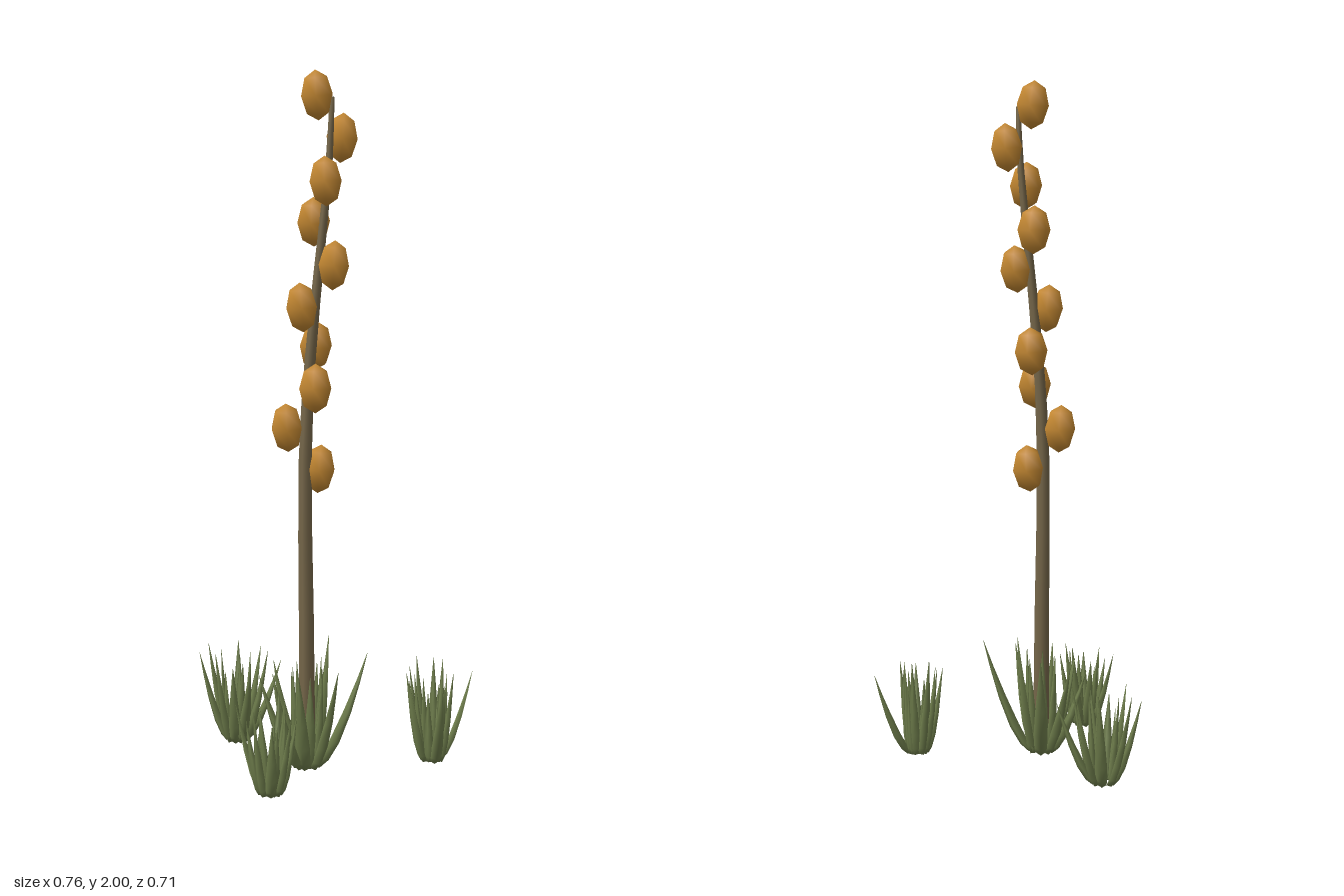
import * as THREE from 'three';
import { mergeGeometries } from 'three/addons/utils/BufferGeometryUtils.js';

const leafMat = new THREE.MeshStandardMaterial({ name: 'leaf green', color: 0x707f4d });
const stalkMat = new THREE.MeshStandardMaterial({ name: 'stalk brown', color: 0x76674a });
const podMat = new THREE.MeshStandardMaterial({ name: 'pod orange', color: 0xc48832 });

// Skin elliptical cross-sections along a path: each section has p, u, v (u x v points along the path).
function loft(sections, sides) {
  const pos = [], idx = [];
  for (const { p, u, v } of sections) {
    for (let j = 0; j < sides; j++) {
      const a = (j / sides) * Math.PI * 2;
      const q = p.clone().addScaledVector(u, Math.cos(a)).addScaledVector(v, Math.sin(a));
      pos.push(q.x, q.y, q.z);
    }
  }
  for (let i = 0; i < sections.length - 1; i++) {
    for (let j = 0; j < sides; j++) {
      const a = i * sides + j, b = i * sides + (j + 1) % sides;
      idx.push(a, b, b + sides, a, b + sides, a + sides);
    }
  }
  const last = (sections.length - 1) * sides;
  for (let j = 1; j < sides - 1; j++) {
    idx.push(0, j + 1, j, last, last + j, last + j + 1);
  }
  const g = new THREE.BufferGeometry();
  g.setAttribute('position', new THREE.Float32BufferAttribute(pos, 3));
  g.setIndex(idx);
  g.computeVertexNormals();
  return g;
}

// One fleshy pointed blade that leans outward and then sweeps up to its tip.
function blade(angle, baseR, tipR, height, width) {
  const out = new THREE.Vector3(Math.cos(angle), 0, Math.sin(angle));
  const v = new THREE.Vector3(0, 1, 0).cross(out);
  const at = t => out.clone().multiplyScalar(baseR + (tipR - baseR) * t)
    .setY(0.013 + (height - 0.013) * Math.pow(t, 1.45));
  const profile = [[0, 0.75], [0.15, 0.9], [0.35, 1], [0.6, 0.78], [0.82, 0.4], [1, 0.03]];
  const sections = profile.map(([t, w]) => {
    const T = at(Math.min(1, t + 0.05)).sub(at(Math.max(0, t - 0.05))).normalize();
    const u = v.clone().cross(T);
    return { p: at(t), u: u.multiplyScalar(w * width * 0.68), v: v.clone().multiplyScalar(w * width) };
  });
  return loft(sections, 4);
}

// Tuft position, blade size, and outer blade tips as [dx, dz, height].
const tufts = [
  { name: 'mainTuft', x: -0.105, z: 0.08, width: 0.021, baseR: 0.03, inner: 8, innerH: 0.33,
    tips: [[0.058, -0.157, 0.33], [-0.047, -0.125, 0.3], [-0.11, -0.09, 0.27], [-0.125, 0.05, 0.27],
      [0.155, 0.078, 0.345], [0.035, 0.13, 0.31], [-0.07, 0.09, 0.3], [0.085, -0.03, 0.38], [-0.1, -0.02, 0.29]] },
  { name: 'backTuft', x: -0.173, z: -0.26, width: 0.0175, baseR: 0.026, inner: 5, innerH: 0.28,
    tips: [[-0.047, -0.098, 0.29], [-0.086, -0.076, 0.27], [0.047, -0.088, 0.29], [0.097, -0.035, 0.28],
      [0.129, 0.039, 0.25], [0.072, 0.068, 0.29], [0.002, 0.099, 0.26], [-0.047, 0.078, 0.25], [-0.08, 0.027, 0.29]] },
  { name: 'leftTuft', x: 0.248, z: 0.188, width: 0.0165, baseR: 0.026, inner: 6, innerH: 0.27,
    tips: [[0.132, 0, 0.26], [-0.031, 0.115, 0.25], [-0.082, 0.006, 0.26], [-0.016, -0.07, 0.31],
      [-0.043, -0.062, 0.28], [0.031, -0.051, 0.3], [0.035, 0.06, 0.28], [-0.068, -0.035, 0.27], [0.047, -0.025, 0.3]] },
  { name: 'rightTuft', x: -0.318, z: 0.282, width: 0.0165, baseR: 0.026, inner: 5, innerH: 0.24,
    tips: [[-0.062, -0.092, 0.25], [0.068, -0.082, 0.28], [-0.062, 0.027, 0.24], [-0.025, 0.066, 0.22],
      [0.033, 0.07, 0.25], [0.064, 0.037, 0.23], [0.057, -0.027, 0.26], [0.006, -0.078, 0.23], [-0.06, -0.027, 0.22]] },
];

function makeTuft(t) {
  const blades = t.tips.map(([dx, dz, h]) =>
    blade(Math.atan2(dz, dx), t.baseR, Math.hypot(dx, dz), h, t.width));
  // upright blades in the middle of the tuft
  for (let i = 0; i < t.inner; i++) {
    const a = (i + 0.3) / t.inner * Math.PI * 2;
    blades.push(blade(a, t.baseR, 0.042 + 0.012 * (i % 2), t.innerH - 0.05 * (i % 3) / 2, t.width * 0.88));
  }
  const mesh = new THREE.Mesh(mergeGeometries(blades), leafMat);
  mesh.name = t.name;
  mesh.position.set(t.x, 0, t.z);
  return mesh;
}

// Tall tapering stalk, bending gently near the top.
function makeStalk() {
  const curve = new THREE.CatmullRomCurve3([
    [-0.105, 0.01, 0.08], [-0.107, 0.45, 0.08], [-0.11, 0.9, 0.08], [-0.098, 1.2, 0.09],
    [-0.075, 1.5, 0.108], [-0.055, 1.75, 0.122], [-0.05, 1.925, 0.13],
  ].map(p => new THREE.Vector3(...p)));
  const sections = [];
  for (let i = 0; i <= 12; i++) {
    const r = 0.025 - 0.018 * i / 12;
    sections.push({ p: curve.getPoint(i / 12), u: new THREE.Vector3(0, 0, r), v: new THREE.Vector3(r, 0, 0) });
  }
  const mesh = new THREE.Mesh(loft(sections, 7), stalkMat);
  mesh.name = 'stalk';
  return mesh;
}

// Six-sided egg-shaped pods spiralling up the stalk.
function makePods() {
  const group = new THREE.Group();
  group.name = 'pods';
  const geo = new THREE.SphereGeometry(1, 6, 4).scale(0.049, 0.07, 0.049);
  const spots = [
    [-0.09, 1.93, 0.116], [-0.007, 1.811, 0.106], [-0.085, 1.695, 0.16], [-0.077, 1.577, 0.069],
    [-0.043, 1.458, 0.127], [-0.133, 1.342, 0.106], [-0.065, 1.226, 0.058], [-0.101, 1.114, 0.127],
    [-0.15, 0.995, 0.045], [-0.065, 0.876, 0.08],
  ];
  spots.forEach(([x, y, z], i) => {
    const pod = new THREE.Mesh(geo, podMat);
    pod.name = 'pod' + (i + 1);
    pod.position.set(x, y, z);
    pod.rotation.set(0.08 * Math.sin(i * 2.4), 0.1 * Math.sin(i * 1.7), 0.08 * Math.cos(i * 2.4));
    group.add(pod);
  });
  return group;
}

export function createModel() {
  const model = new THREE.Group();
  model.name = 'floweringPlant';
  model.add(makeStalk(), makePods(), ...tufts.map(makeTuft));
  return model;
}
